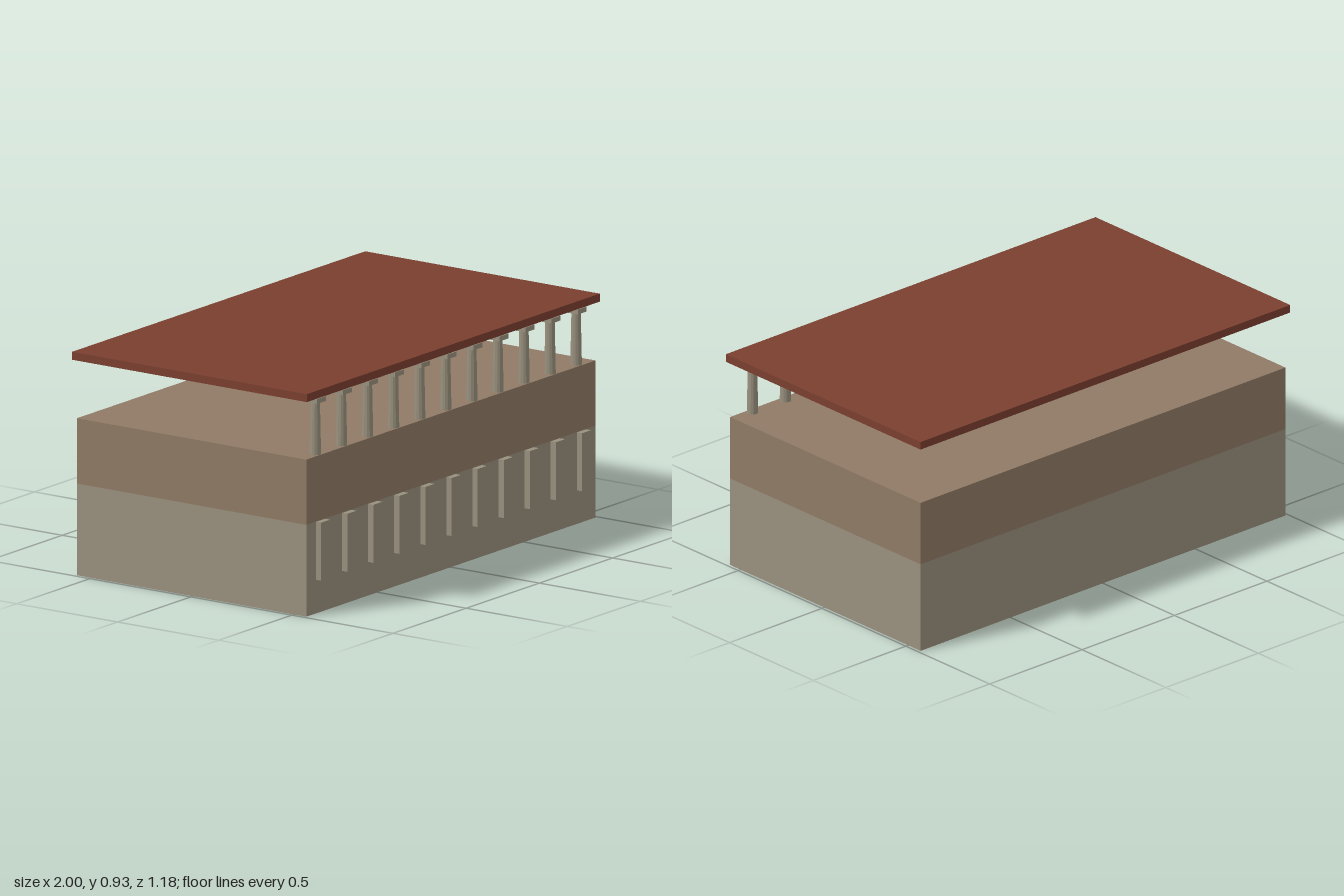
import * as THREE from 'three';

const stone = new THREE.MeshStandardMaterial({ color: 0x99907d, flatShading: true });
const wallStone = new THREE.MeshStandardMaterial({ color: 0x99907d, side: THREE.DoubleSide });
const plaster = new THREE.MeshStandardMaterial({ color: 0x8f7a65 });
const tile = new THREE.MeshStandardMaterial({ color: 0x7a3f2f });

const HALF_X = 0.987, FRONT = 0.562, BACK = -0.574;
const DEPTH = FRONT - BACK, MID_Z = (FRONT + BACK) / 2;
const BASE_TOP = 0.38, UPPER_TOP = 0.65;
const BAYS = 11, SPACING = 0.178;

function addPart(parent, name, geometry, material, x, y, z) {
  const mesh = new THREE.Mesh(geometry, material);
  mesh.name = name;
  mesh.position.set(x, y, z);
  parent.add(mesh);
  return mesh;
}

export function createModel() {
  const model = new THREE.Group();
  model.name = 'colonnadedBuilding';

  // Lower storey: four thin walls, open underneath
  const base = new THREE.Group();
  base.name = 'lowerWalls';
  model.add(base);
  const longWall = new THREE.PlaneGeometry(2 * HALF_X, BASE_TOP);
  const endWall = new THREE.PlaneGeometry(DEPTH, BASE_TOP);
  const y = BASE_TOP / 2;
  addPart(base, 'frontWall', longWall, wallStone, 0, y, FRONT);
  addPart(base, 'backWall', longWall, wallStone, 0, y, BACK).rotation.y = Math.PI;
  for (const side of [1, -1]) {
    addPart(base, side > 0 ? 'leftWall' : 'rightWall', endWall, wallStone,
      side * HALF_X, y, MID_Z).rotation.y = side * Math.PI / 2;
  }

  // Upper storey: closed block
  addPart(model, 'upperStorey',
    new THREE.BoxGeometry(2 * HALF_X, UPPER_TOP - BASE_TOP, DEPTH), plaster,
    0, (UPPER_TOP + BASE_TOP) / 2, MID_Z);

  // Pilasters set through the front wall, with a column above each
  const pilasterGeo = new THREE.BoxGeometry(0.062, 0.24, 0.052);
  const shaftGeo = new THREE.CylinderGeometry(0.019, 0.0235, 0.218, 12);
  const capGeo = new THREE.BoxGeometry(0.061, 0.02, 0.061);
  for (let i = 0; i < BAYS; i++) {
    const x = (i - (BAYS - 1) / 2) * SPACING;
    addPart(model, 'pilaster', pilasterGeo, stone, x, 0.259, FRONT);
    const column = new THREE.Group();
    column.name = 'column';
    column.position.set(x, UPPER_TOP, 0.536);
    addPart(column, 'shaft', shaftGeo, stone, 0, 0.109, 0);
    addPart(column, 'capital', capGeo, stone, 0, 0.227, 0);
    model.add(column);
  }

  // Flat roof slab just above the capitals
  addPart(model, 'roof', new THREE.BoxGeometry(2, 0.033, 1.162), tile, 0, 0.909, -0.007);

  return model;
}
